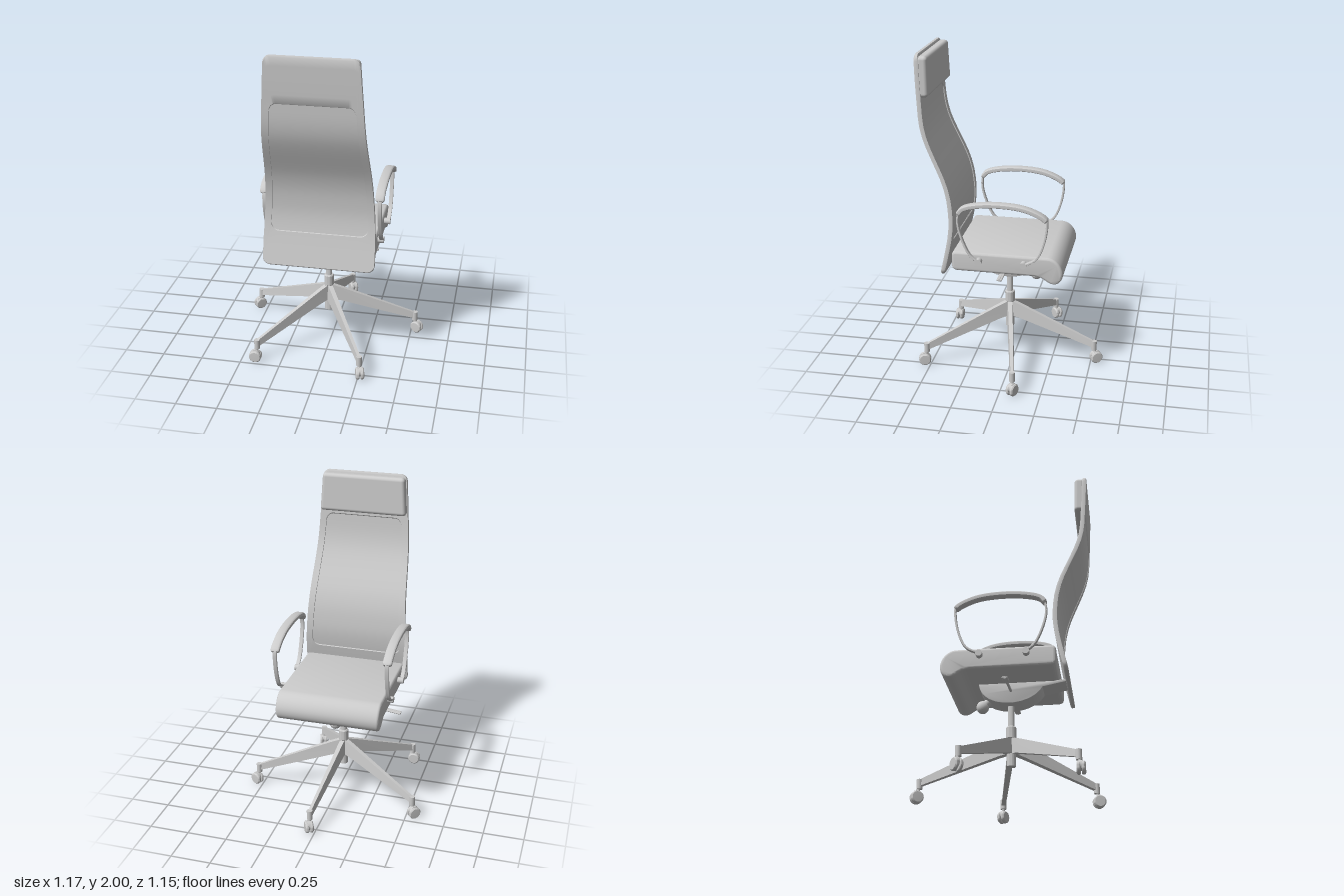
import * as THREE from 'three';
import { toCreasedNormals } from 'three/addons/utils/BufferGeometryUtils.js';
import { RoundedBoxGeometry } from 'three/addons/geometries/RoundedBoxGeometry.js';

const V = (x, y, z) => new THREE.Vector3(x, y, z);
const CX = -0.02; // sideways centre of the chair body
const material = new THREE.MeshStandardMaterial({ color: 0xcccccc, side: THREE.DoubleSide });

function add(parent, name, geometry, x = 0, y = 0, z = 0) {
  const mesh = new THREE.Mesh(geometry, material);
  mesh.name = name;
  mesh.position.set(x, y, z);
  parent.add(mesh);
  return mesh;
}

// Skin over closed loops of points; either joined into a ring or capped at the ends
function loft(loops, ring = false, crease = 0.6) {
  const n = loops[0].length, m = loops.length;
  const pts = loops.flat(), idx = [];
  for (let i = 0; i < (ring ? m : m - 1); i++) {
    for (let j = 0; j < n; j++) {
      const a = i * n + j, b = i * n + (j + 1) % n;
      const c = ((i + 1) % m) * n + j, d = ((i + 1) % m) * n + (j + 1) % n;
      idx.push(a, b, c, b, d, c);
    }
  }
  if (!ring) {
    for (let j = 1; j < n - 1; j++) {
      const e = (m - 1) * n;
      idx.push(0, j + 1, j, e, e + j, e + j + 1);
    }
  }
  // Turn the faces outward if the enclosed volume is negative
  let volume = 0;
  for (let i = 0; i < idx.length; i += 3) {
    volume += pts[idx[i]].dot(V(0, 0, 0).crossVectors(pts[idx[i + 1]], pts[idx[i + 2]]));
  }
  if (volume < 0) idx.reverse();
  const g = new THREE.BufferGeometry().setFromPoints(pts);
  g.setIndex(idx);
  return toCreasedNormals(g, crease);
}

// Rounded bar swept along a curve lying in a plane of constant x
function sweep(points, halfWidth, halfThick, steps = 28) {
  const curve = new THREE.CatmullRomCurve3(points);
  const loops = [];
  for (let i = 0; i <= steps; i++) {
    const p = curve.getPoint(i / steps), t = curve.getTangent(i / steps);
    const normal = V(0, -t.z, t.y);
    const s = i === 0 || i === steps ? 0.75 : 1;
    loops.push(Array.from({ length: 16 }, (_, k) => {
      const a = k / 16 * Math.PI * 2;
      const soft = v => Math.sign(v) * Math.sqrt(Math.abs(v));
      return p.clone().addScaledVector(normal, soft(Math.sin(a)) * halfThick * s)
        .add(V(soft(Math.cos(a)) * halfWidth * s, 0, 0));
    }));
  }
  return loft(loops);
}

// Side profile given as (z, y), extruded across x
function extrudeX(shape, width, bevel) {
  const g = new THREE.ExtrudeGeometry(shape, {
    depth: width - 2 * bevel, bevelEnabled: true, bevelThickness: bevel, bevelSize: bevel,
    bevelOffset: -bevel, bevelSegments: 4, curveSegments: 10,
  });
  g.translate(0, 0, bevel - width / 2).rotateY(-Math.PI / 2);
  return toCreasedNormals(g, 0.6);
}

// Backrest curve in (y -> z), and its half width
const spine = new THREE.SplineCurve([[0.655, 0.395], [0.89, 0.345], [1.05, 0.338], [1.233, 0.373],
  [1.524, 0.495], [1.76, 0.524], [2, 0.537]].map(p => new THREE.Vector2(...p)));
const spinePts = spine.getPoints(120);
function backZ(y) {
  let i = 1;
  while (i < 120 && spinePts[i].x < y) i++;
  const a = spinePts[i - 1], b = spinePts[i];
  return a.y + (b.y - a.y) * (y - a.x) / (b.x - a.x);
}
const backW = y => 0.341 - 0.072 * Math.pow(Math.max(0, (y - 0.8) / 1.2), 1.1);

// Rounded outline following the backrest taper; every outline has the same point count
function outline(y0, y1, inset, r) {
  const pts = [], W = 0.3;
  const corners = [[W - r, y1 - r, 0], [r - W, y1 - r, 1], [r - W, y0 + r, 2], [W - r, y0 + r, 3]];
  const arc = ([x, y, q], k) => {
    const a = (q + k / 6) * Math.PI / 2;
    return [x + r * Math.cos(a), y + r * Math.sin(a)];
  };
  corners.forEach((c, q) => {
    for (let k = 0; k <= 6; k++) pts.push(arc(c, k));
    const a = arc(c, 6), b = arc(corners[(q + 1) % 4], 0);
    for (let k = 1; k < 20; k++) pts.push([a[0] + (b[0] - a[0]) * k / 20, a[1] + (b[1] - a[1]) * k / 20]);
  });
  return pts.map(([x, y]) => [CX + x / W * (backW(y) - inset), y]);
}

function buildBack(group) {
  // Frame ring around the panel opening
  const outer = outline(0.655, 2, 0, 0.04), inner = outline(0.87, 1.72, 0.043, 0.05);
  const section = [];
  const ts = [0, 0.03, 0.2, 0.4, 0.6, 0.8, 0.98, 1];
  const depth = t => (t === 0 || t === 1 ? 0.008 : 0.013);
  ts.forEach(t => section.push([t, depth(t)]));
  [...ts].reverse().forEach(t => section.push([t, -depth(t)]));
  add(group, 'backFrame', loft(outer.map(([ox, oy], i) => section.map(([t, d]) => {
    const y = oy + (inner[i][1] - oy) * t;
    return V(ox + (inner[i][0] - ox) * t, y, backZ(y) + d);
  })), true, 0.7));

  // Thin panel set into the frame
  const rows = [];
  for (let i = 0; i <= 36; i++) {
    const y = 0.86 + 0.87 * i / 36, w = backW(y) - 0.035, z = backZ(y);
    rows.push([V(CX - w, y, z - 0.007), V(CX + w, y, z - 0.007), V(CX + w, y, z + 0.009), V(CX - w, y, z + 0.009)]);
  }
  add(group, 'backPanel', loft(rows));

  // Headrest cushion, tapered with the frame
  const head = new RoundedBoxGeometry(2, 0.24, 0.064, 5, 0.022);
  const pos = head.attributes.position;
  for (let i = 0; i < pos.count; i++) {
    const x = pos.getX(i), edge = Math.sign(x) * (1 - Math.abs(x));
    pos.setX(i, Math.sign(x) * (backW(1.865 + pos.getY(i)) - 0.006) - edge);
  }
  add(group, 'headrest', head, CX, 1.867, 0.503).rotation.x = 0.03;
}

function buildSeat(group) {
  const s = new THREE.Shape();
  s.moveTo(0.31, 0.812);
  s.lineTo(-0.25, 0.812);
  s.bezierCurveTo(-0.31, 0.81, -0.345, 0.75, -0.345, 0.71);
  s.bezierCurveTo(-0.345, 0.66, -0.31, 0.635, -0.28, 0.642);
  s.bezierCurveTo(-0.24, 0.65, -0.23, 0.685, -0.17, 0.686);
  s.lineTo(0.305, 0.688);
  s.quadraticCurveTo(0.337, 0.69, 0.337, 0.72);
  s.lineTo(0.337, 0.785);
  s.quadraticCurveTo(0.337, 0.812, 0.31, 0.812);
  add(group, 'seatCushion', extrudeX(s, 0.65, 0.016), CX);
}

function buildArm(group, side) {
  const arm = new THREE.Group();
  arm.name = side > 0 ? 'leftArmrest' : 'rightArmrest';
  const curve = list => list.map(([z, y]) => V(0, y, z));
  add(arm, 'armPad', sweep(curve([[0.285, 1.07], [0.255, 1.105], [0.17, 1.13], [0.03, 1.14], [-0.12, 1.125], [-0.22, 1.085], [-0.252, 1.06]]), 0.028, 0.015));
  add(arm, 'rearStrut', sweep(curve([[0.27, 1.1], [0.285, 1.06], [0.286, 0.995], [0.256, 0.89], [0.215, 0.81], [0.165, 0.767]]), 0.013, 0.007));
  add(arm, 'frontStrut', sweep(curve([[-0.245, 1.08], [-0.253, 1.05], [-0.234, 0.915], [-0.186, 0.81], [-0.11, 0.767]]), 0.013, 0.007));
  for (const z of [0.165, -0.11]) {
    add(arm, 'armBolt', new THREE.CylinderGeometry(0.02, 0.02, 0.05, 20).rotateZ(Math.PI / 2), -side * 0.012, 0.767, z);
  }
  arm.position.x = CX + side * 0.35;
  group.add(arm);
}

function buildMechanism(group) {
  const s = new THREE.Shape();
  s.moveTo(0.39, 0.7);
  s.lineTo(0.39, 0.685);
  s.lineTo(0.235, 0.655);
  s.bezierCurveTo(0.2, 0.59, 0.11, 0.56, 0.04, 0.56);
  s.bezierCurveTo(-0.06, 0.56, -0.14, 0.6, -0.15, 0.69);
  s.lineTo(0.3, 0.69);
  add(group, 'tiltMechanism', extrudeX(s, 0.15, 0.003), CX);

  // Tension knob on a slanted stem
  const knob = add(group, 'tensionKnob', new THREE.SphereGeometry(0.038, 24, 16), CX, 0.567, -0.135);
  knob.scale.y = 1.05;
  add(group, 'knobStem', new THREE.CylinderGeometry(0.018, 0.028, 0.09, 20), CX, 0.595, -0.105).rotation.x = 0.8;

  // Levers: a thin rod ending in a flat paddle
  for (const [side, length, slope] of [[-1, 0.305, -0.13], [1, 0.24, 0.01]]) {
    const lever = new THREE.Group();
    lever.name = side > 0 ? 'leftLever' : 'rightLever';
    add(lever, 'leverRod', new THREE.CylinderGeometry(0.008, 0.008, length, 12).rotateZ(Math.PI / 2), side * length / 2);
    add(lever, 'leverPaddle', new RoundedBoxGeometry(0.1, 0.012, 0.036, 3, 0.006), side * (length - 0.05));
    lever.position.set(CX + side * 0.075, 0.637, 0.045);
    lever.rotation.z = side * slope;
    group.add(lever);
  }
}

function buildBase(group) {
  const base = new THREE.Group();
  base.name = 'base';
  base.position.set(CX - 0.004, 0, 0.038);
  group.add(base);
  const profile = [[0, 0.185], [0.027, 0.185], [0.027, 0.355], [0.031, 0.36], [0.031, 0.425], [0.026, 0.432], [0.02, 0.432], [0.02, 0.6], [0, 0.6]];
  add(base, 'column', toCreasedNormals(new THREE.LatheGeometry(profile.map(p => new THREE.Vector2(...p)), 28), 0.6));

  // Tapered leg pointing along +x, with the caster swivelled freely
  const bar = (x, top, bottom, w) => [V(x, top, w * 0.7), V(x, top, -w * 0.7), V(x, bottom, -w), V(x, bottom, w)];
  const leg = loft([bar(0.005, 0.365, 0.265, 0.022), bar(0.08, 0.338, 0.247, 0.02), bar(0.56, 0.145, 0.103, 0.013)]);
  const swivel = [60, 25, 75, 0, -40];
  const wheelProfile = [[0, -0.01], [0.034, -0.01], [0.0385, -0.006], [0.0385, 0.004], [0.032, 0.011], [0, 0.012]]
    .map(p => new THREE.Vector2(...p));
  const wheel = toCreasedNormals(new THREE.LatheGeometry(wheelProfile, 28).rotateX(Math.PI / 2), 0.5);
  for (let i = 0; i < 5; i++) {
    const deg = -84 + 72 * i;
    const spoke = new THREE.Group();
    spoke.name = 'spoke';
    spoke.rotation.y = -THREE.MathUtils.degToRad(deg);
    base.add(spoke);
    add(spoke, 'leg', leg);
    add(spoke, 'casterPost', new THREE.CylinderGeometry(0.018, 0.018, 0.06, 20), 0.56, 0.117);
    const caster = new THREE.Group();
    caster.name = 'caster';
    caster.position.set(0.575, 0.0385, 0);
    caster.rotation.y = THREE.MathUtils.degToRad(deg - swivel[i]);
    spoke.add(caster);
    add(caster, 'wheelOuter', wheel, 0, 0, 0.014);
    add(caster, 'wheelInner', wheel, 0, 0, -0.014).rotation.y = Math.PI;
    add(caster, 'casterHood', new THREE.CylinderGeometry(0.03, 0.03, 0.02, 20).rotateX(Math.PI / 2), 0, 0.012, 0);
    add(spoke, 'casterPin', new THREE.CylinderGeometry(0.01, 0.01, 0.06, 12), 0.566, 0.075);
  }
}

export function createModel() {
  const chair = new THREE.Group();
  chair.name = 'officeChair';
  buildBack(chair);
  buildSeat(chair);
  buildArm(chair, 1);
  buildArm(chair, -1);
  buildMechanism(chair);
  buildBase(chair);
  return chair;
}
